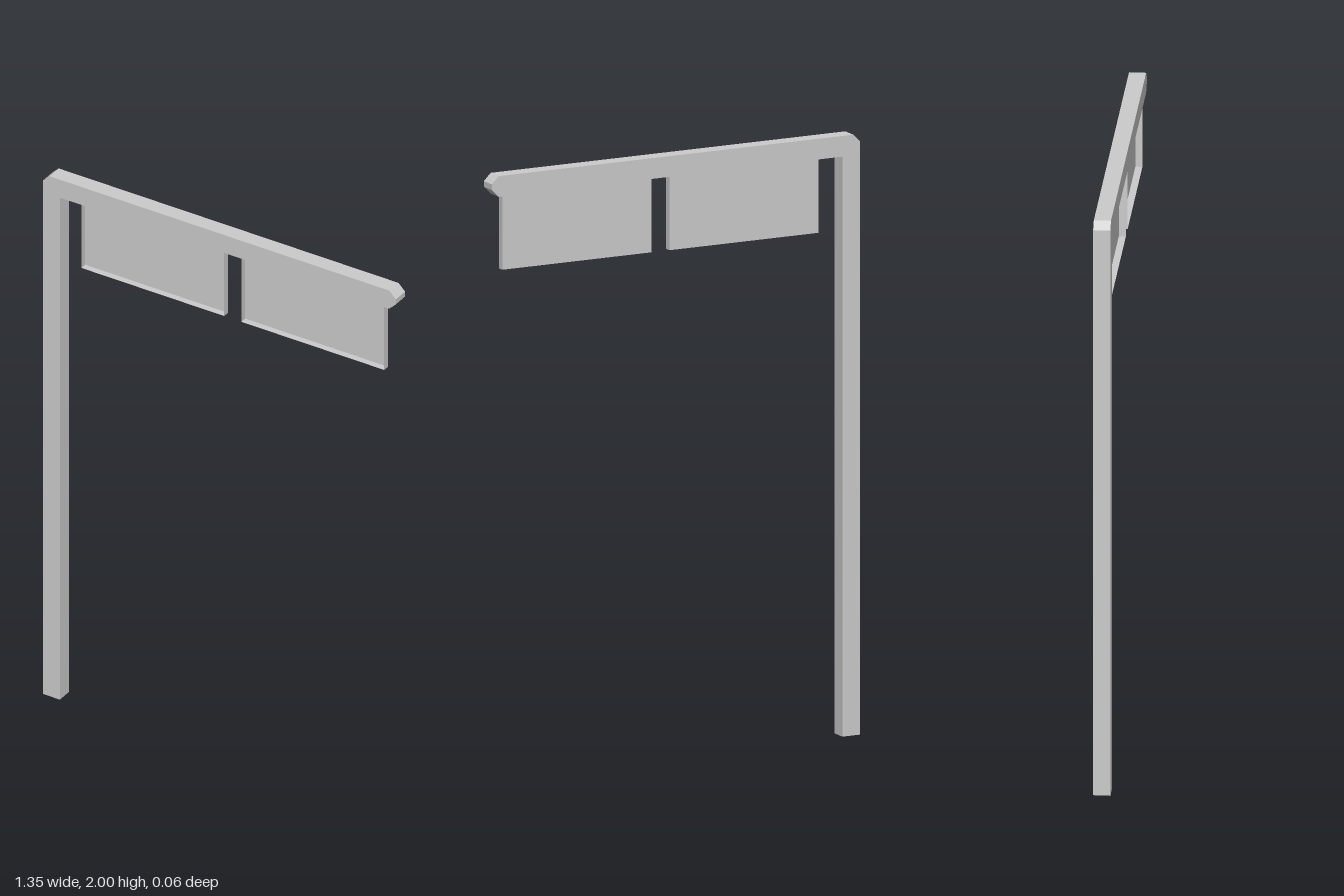
import * as THREE from 'three';

const grey = new THREE.MeshStandardMaterial({ color: 0xcccccc, flatShading: true });
const thinGrey = new THREE.MeshStandardMaterial({ color: 0xcccccc, flatShading: true, side: THREE.DoubleSide });

// Open-fronted tray: a thin-walled box without its front face
function createSignPanel(name, centreX) {
  const width = 0.548, height = 0.25, depth = 0.023;
  const panel = new THREE.Group();
  panel.name = name;
  const addWall = (wallName, w, h, x, y, z, rx, ry) => {
    const wall = new THREE.Mesh(new THREE.PlaneGeometry(w, h), thinGrey);
    wall.name = wallName;
    wall.position.set(x, y, z);
    wall.rotation.set(rx, ry, 0);
    panel.add(wall);
  };
  addWall('panelBack', width, height, 0, 0, -depth / 2, 0, Math.PI);
  for (const s of [-1, 1]) {
    addWall(s > 0 ? 'panelLeftRim' : 'panelRightRim', depth, height, s * width / 2, 0, 0, 0, s * Math.PI / 2);
  }
  addWall('panelBottomRim', width, depth, 0, -height / 2, 0, Math.PI / 2, 0);
  panel.position.set(centreX, 1.931 - height / 2, 0.0065);
  return panel;
}

export function createModel() {
  const model = new THREE.Group();
  model.name = 'overheadSignGantry';

  // Post and cantilever beam as one bent bar with chamfered corners
  const right = -0.678, left = 0.676, top = 2, under = 1.931, inner = -0.613, c = 0.025;
  const outline = new THREE.Shape([
    [right, 0], [inner, 0], [inner, under],
    [left - c, under], [left, under + c], [left, top - c], [left - c, top],
    [right + c, top], [right, top - c],
  ].map(([x, y]) => new THREE.Vector2(x, y)));
  const depth = 0.056;
  const bar = new THREE.ExtrudeGeometry(outline, { depth, bevelEnabled: false });
  bar.translate(0, 0, -depth / 2);
  const frame = new THREE.Mesh(bar, grey);
  frame.name = 'postAndBeam';
  model.add(frame);

  // Two sign trays hanging under the beam
  model.add(createSignPanel('rightSignPanel', -0.263), createSignPanel('leftSignPanel', 0.351));
  return model;
}
